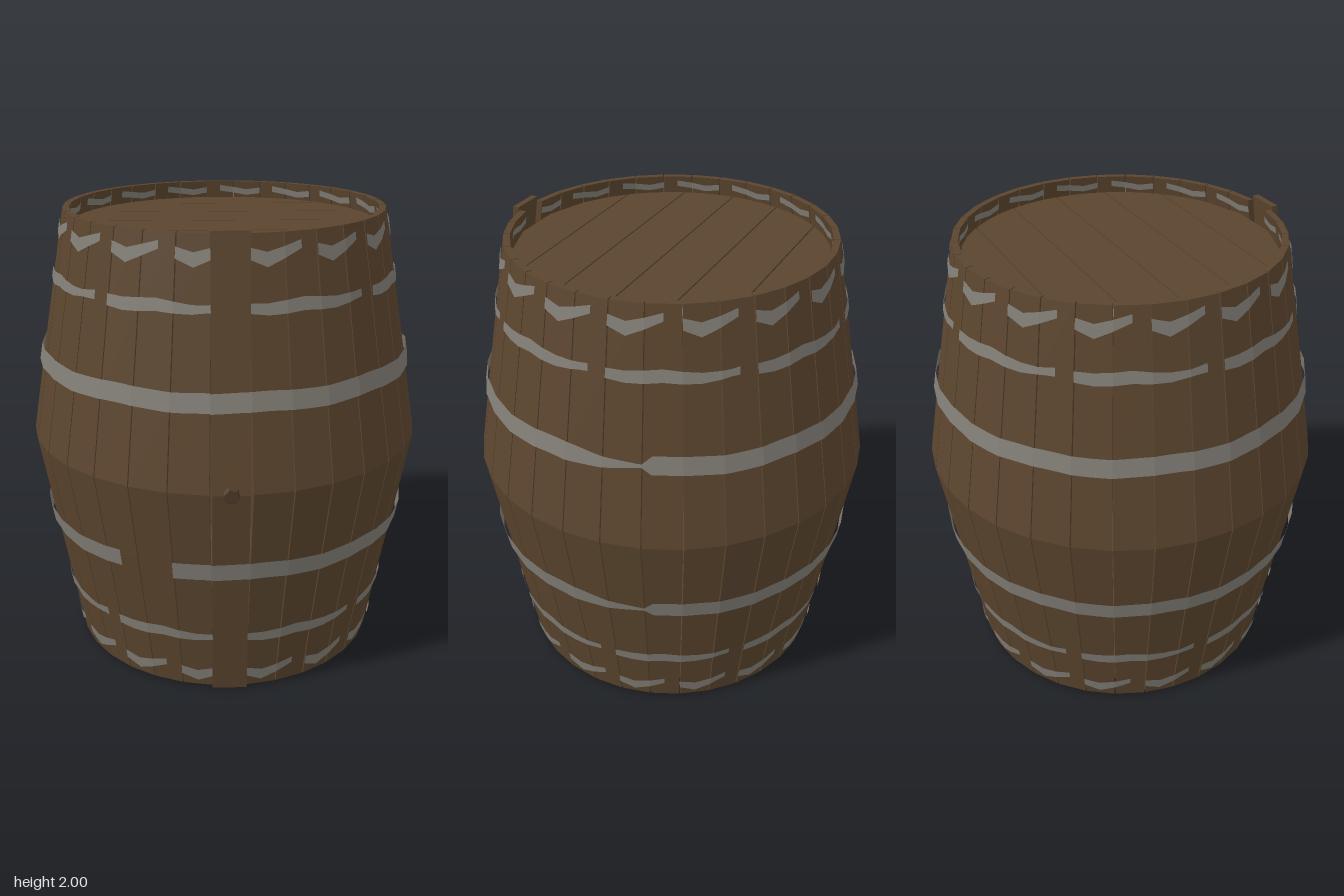
import * as THREE from 'three';

const wood = new THREE.MeshStandardMaterial({ color: 0x5b452e });
wood.name = 'dark wood';
const iron = new THREE.MeshStandardMaterial({ color: 0x827e77, side: THREE.DoubleSide });
iron.name = 'worn iron';
const bungWood = new THREE.MeshStandardMaterial({ color: 0x4b3a27 });
bungWood.name = 'bung wood';

const STAVES = 32, STEP = (Math.PI * 2) / STAVES, THICK = 0.028;
// barrel profile: height and distance of the flat stave face from the axis
const PROFILE = [[0.01, 0.688], [0.3, 0.738], [0.65, 0.8], [1, 0.86], [1.35, 0.8], [1.7, 0.738], [1.985, 0.688]];

function radiusAt(y) {
  for (let i = 1; i < PROFILE.length; i++) {
    const [y0, r0] = PROFILE[i - 1], [y1, r1] = PROFILE[i];
    if (y <= y1) return r0 + (r1 - r0) * (y - y0) / (y1 - y0);
  }
  return PROFILE[PROFILE.length - 1][1];
}

function add(parent, name, geometry, material) {
  const mesh = new THREE.Mesh(geometry, material);
  mesh.name = name;
  parent.add(mesh);
  return mesh;
}

function flat(geometry) {
  const g = geometry.toNonIndexed();
  g.computeVertexNormals();
  return g;
}

// a box bent along the profile; the front plank keeps its width and lifts at the top
function staveGeometry(isPlank) {
  const g = new THREE.BoxGeometry(1, 1, 1, 1, PROFILE.length - 1, 1);
  const p = g.attributes.position;
  for (let i = 0; i < p.count; i++) {
    const level = Math.round((p.getY(i) + 0.5) * (PROFILE.length - 1));
    let [y, r] = PROFILE[level];
    const inner = p.getZ(i) < 0 ? THICK : 0;
    let half = (r - inner) * Math.tan(STEP / 2) - 0.0025;
    if (isPlank) {
      half = 0.075;
      r += 0.006 + 0.024 * Math.max(0, (y - 1.3) / 0.7);
      if (level === 0) y = 0;
      if (level === PROFILE.length - 1) y = 2;
    }
    p.setXYZ(i, Math.sign(p.getX(i)) * half, y, r - inner);
  }
  return flat(g);
}

// a strip laid on the staves; edges(s) gives centre and half height, shown(s) leaves gaps
function hoopGeometry(offset, edges, shown) {
  const pos = [];
  const point = (s, side) => {
    const [centre, half] = edges(s);
    const y = centre + side * half;
    const d = (s - Math.round(s)) * STEP;
    const r = (radiusAt(y) + offset) / Math.cos(d);
    return [r * Math.sin(s * STEP), y, r * Math.cos(s * STEP)];
  };
  for (let k = 0; k < STAVES * 4; k++) {
    const s = k / 4 - 0.5, e = s + 0.25;
    if (!shown(s + 0.125)) continue;
    const a = point(s, -1), b = point(e, -1), c = point(e, 1), d = point(s, 1);
    pos.push(...a, ...b, ...c, ...a, ...c, ...d);
  }
  const g = new THREE.BufferGeometry();
  g.setAttribute('position', new THREE.Float32BufferAttribute(pos, 3));
  g.computeVertexNormals();
  return g;
}

// round head made of six straight boards with narrow gaps
function addHead(parent, name, top) {
  const head = new THREE.Group();
  head.name = name;
  const cuts = [-0.655, -0.462, -0.234, -0.006, 0.222, 0.45, 0.655];
  for (let i = 0; i < 6; i++) {
    const z0 = cuts[i] + 0.003, z1 = cuts[i + 1] - 0.003;
    const right = [], left = [];
    for (let k = 0; k <= 3; k++) {
      const z = z0 + (z1 - z0) * k / 3;
      const x = Math.sqrt(0.662 ** 2 - z * z);
      right.push(new THREE.Vector2(x, z));
      left.unshift(new THREE.Vector2(-x, z));
    }
    const g = new THREE.ExtrudeGeometry(new THREE.Shape([...right, ...left]), { depth: 0.03, bevelEnabled: false });
    g.rotateX(Math.PI / 2).translate(0, top, 0);
    add(head, 'headBoard', g, wood);
  }
  parent.add(head);
}

export function createModel() {
  const barrel = new THREE.Group();
  barrel.name = 'barrel';

  // staves, with the wider bung plank at the front
  const staves = new THREE.Group();
  staves.name = 'staves';
  const stave = staveGeometry(false);
  for (let i = 1; i < STAVES; i++) add(staves, 'stave', stave, wood).rotation.y = i * STEP;
  add(staves, 'bungPlank', staveGeometry(true), wood);
  barrel.add(staves);

  addHead(barrel, 'topHead', 1.91);
  addHead(barrel, 'bottomHead', 0.11);

  const hoops = new THREE.Group();
  hoops.name = 'hoops';
  const mod = (a, n) => ((a % n) + n) % n;
  const tri = (s) => Math.abs(mod(s, 2) - 1);
  const offPlank = (s) => s > 0.5 && s < STAVES - 0.5;

  // broad hoops, pinched at one side; the lower one is broken near the front
  for (const [y, broken] of [[1.362, false], [0.634, true]]) {
    const edges = (s) => [y + 0.004 * Math.sin(s * 2), s > 7.5 && s < 9.7 ? 0.004 + 0.036 * (9.7 - s) / 2.2 : 0.039];
    add(hoops, 'broadHoop', hoopGeometry(0.014, edges, (s) => !(broken && s > 29 && s < 30.4)), iron);
  }
  // thin wavy hoops, half sunk into the wood
  for (const y of [1.712, 0.287]) {
    const edges = (s) => [y + 0.012 * (tri(s) - 0.5), 0.014 + 0.012 * Math.abs(Math.sin(s * 0.8))];
    add(hoops, 'wavyHoop', hoopGeometry(0.007, edges, (s) => offPlank(s) && mod(s, 4) > 0.6), iron);
  }
  // rim hoops, showing only as zigzag patches outside and inside
  for (const y of [1.913, 0.09]) {
    const shown = (s) => offPlank(s) && mod(s, 2) > 0.5 && mod(s, 2) < 1.9;
    const edges = (s) => [y + 0.05 * (tri(s) - 0.5), 0.016 + 0.012 * tri(s + 1)];
    add(hoops, 'rimHoop', hoopGeometry(0.006, edges, shown), iron);
    const innerY = y > 1 ? 1.943 : 0.052;
    const innerEdges = (s) => [innerY + 0.02 * (tri(s) - 0.5), 0.014];
    add(hoops, 'rimHoopInside', hoopGeometry(-THICK - 0.004, innerEdges, shown), iron);
  }
  barrel.add(hoops);

  // small faceted bung
  const bung = add(barrel, 'bung', flat(new THREE.CylinderGeometry(0.03, 0.055, 0.04, 6)), bungWood);
  bung.rotation.set(Math.PI / 2, 0.3, 0);
  bung.position.set(0, 1, 0.855);
  return barrel;
}
